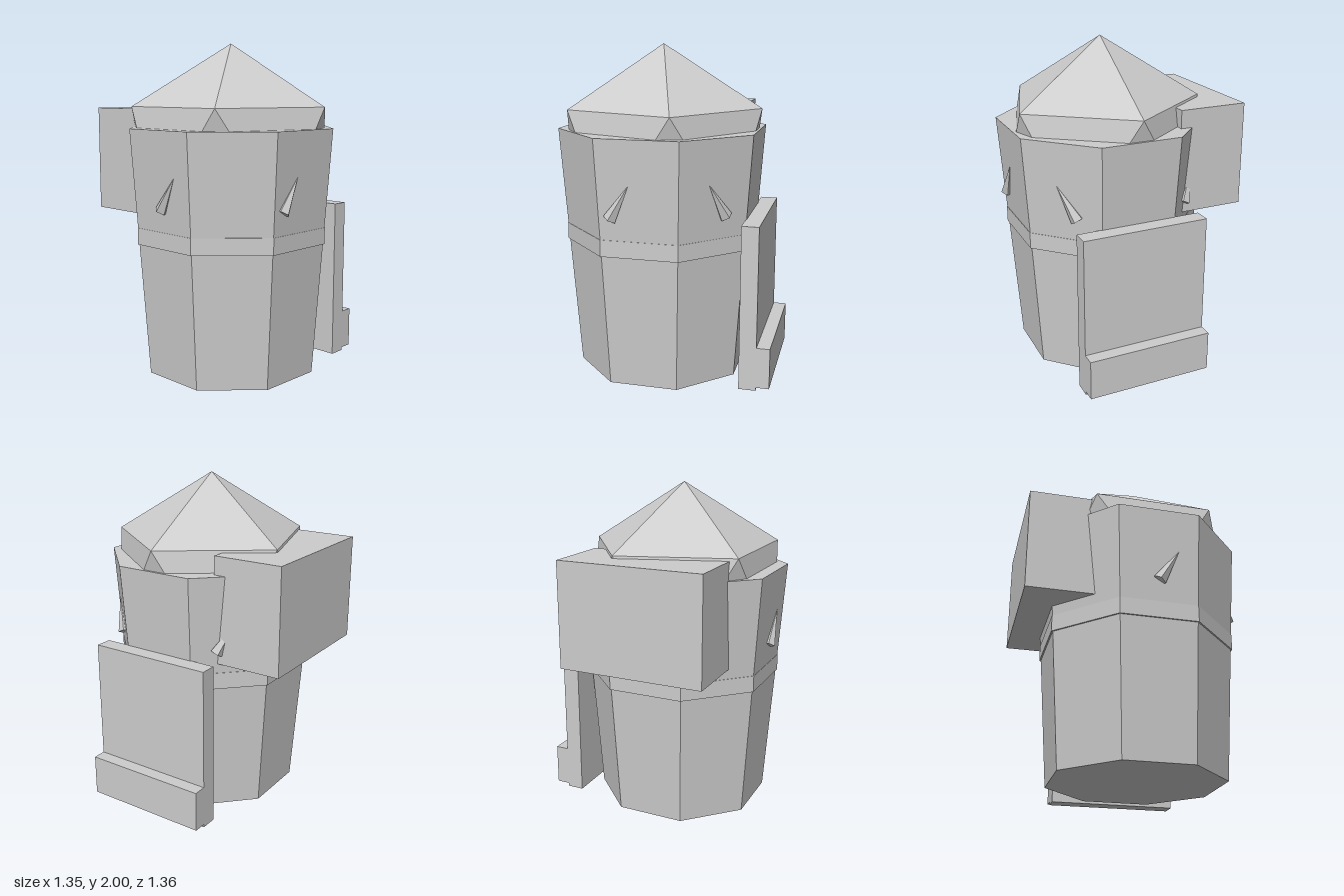
import * as THREE from 'three';

const stone = new THREE.MeshStandardMaterial({ color: 0xcccccc, flatShading: true });
stone.name = 'pale grey';

const CX = -0.07, CZ = 0.077; // tower axis

function add(parent, name, geometry, x = 0, y = 0, z = 0) {
  const mesh = new THREE.Mesh(geometry, stone);
  mesh.name = name;
  mesh.position.set(x, y, z);
  parent.add(mesh);
  return mesh;
}

// Eight-sided prism with flats on the axes, sized by its apothems
function octagon(top, bottom, height) {
  const k = 1 / Math.cos(Math.PI / 8);
  return new THREE.CylinderGeometry(top * k, bottom * k, height, 8, 1, false, Math.PI / 8);
}

// Box given by its extents
function block(parent, name, [x0, x1], [y0, y1], [z0, z1]) {
  const geometry = new THREE.BoxGeometry(x1 - x0, y1 - y0, z1 - z0);
  add(parent, name, geometry, (x0 + x1) / 2, (y0 + y1) / 2, (z0 + z1) / 2);
}

// Five-sided pyramid whose eaves flare down to a ten-sided foot
function roofGeometry() {
  const ring = (deg, r, y) => {
    const a = THREE.MathUtils.degToRad(deg);
    return [Math.cos(a) * r, y, Math.sin(a) * r];
  };
  const apex = [0, 2, 0], base = [0, 1.5, 0], p = [];
  for (let i = 0; i < 5; i++) {
    const a = i * 72, b = a + 72;
    const rimA = ring(a, 0.605, 1.625), rimB = ring(b, 0.605, 1.625);
    const foot0 = ring(a - 7.4, 0.585, 1.5);
    const foot1 = ring(a + 7.4, 0.585, 1.5);
    const foot2 = ring(b - 7.4, 0.585, 1.5);
    p.push(apex, rimB, rimA); // slope
    p.push(rimA, rimB, foot2, rimA, foot2, foot1); // eave
    p.push(rimA, foot1, foot0); // corner facet
    p.push(base, foot0, foot1, base, foot1, foot2); // underside
  }
  const geometry = new THREE.BufferGeometry();
  geometry.setAttribute('position', new THREE.Float32BufferAttribute(p.flat(), 3));
  geometry.computeVertexNormals();
  return geometry;
}

// Thorn lying on a wall: angle of the wall, sideways place of its tip and its base
function thorn(parent, deg, tipSide, baseSide) {
  const a = THREE.MathUtils.degToRad(deg);
  const at = (out, side, y) => new THREE.Vector3(
    Math.cos(a) * out + Math.sin(a) * side, y, Math.sin(a) * out - Math.cos(a) * side);
  const tip = at(0.577, tipSide, 1.24), foot = at(0.566, baseSide, 1.04);
  const axis = tip.clone().sub(foot);
  const length = axis.length();
  const mesh = add(parent, 'thorn', new THREE.ConeGeometry(0.041, length, 5));
  mesh.position.copy(tip).add(foot).multiplyScalar(0.5);
  // Point the cone along the axis with one edge facing straight out
  const y = axis.normalize();
  const out = new THREE.Vector3(Math.cos(a), 0, Math.sin(a));
  const x = new THREE.Vector3().crossVectors(y, out).normalize();
  const z = new THREE.Vector3().crossVectors(x, y);
  mesh.quaternion.setFromRotationMatrix(new THREE.Matrix4().makeBasis(x, y, z));
}

export function createModel() {
  const model = new THREE.Group();
  model.name = 'tower';

  const keep = new THREE.Group();
  keep.name = 'keep';
  keep.position.set(CX, 0, CZ);
  model.add(keep);

  // Flaring tower wall, belt and roof
  add(keep, 'wall', octagon(0.595, 0.495, 1.5), 0, 0.75, 0);
  add(keep, 'belt', octagon(0.558, 0.558, 0.1), 0, 0.86, 0);
  add(keep, 'roof', roofGeometry());

  // Thorns on four walls; positive sideways is to the right seen from outside
  thorn(keep, 90, -0.05, -0.165);
  thorn(keep, 45, -0.042, 0.08);
  thorn(keep, -45, 0.042, -0.08);
  thorn(keep, 180, 0.12, 0);

  // Overhanging room at the back
  block(model, 'backRoom', [-0.513, 0.377], [0.97, 1.61], [-0.673, -0.245]);

  // Side door slab with its raised step
  block(model, 'door', [0.487, 0.59], [0, 1], [-0.315, 0.467]);
  block(model, 'doorStep', [0.59, 0.67], [0.02, 0.27], [-0.315, 0.467]);

  return model;
}
